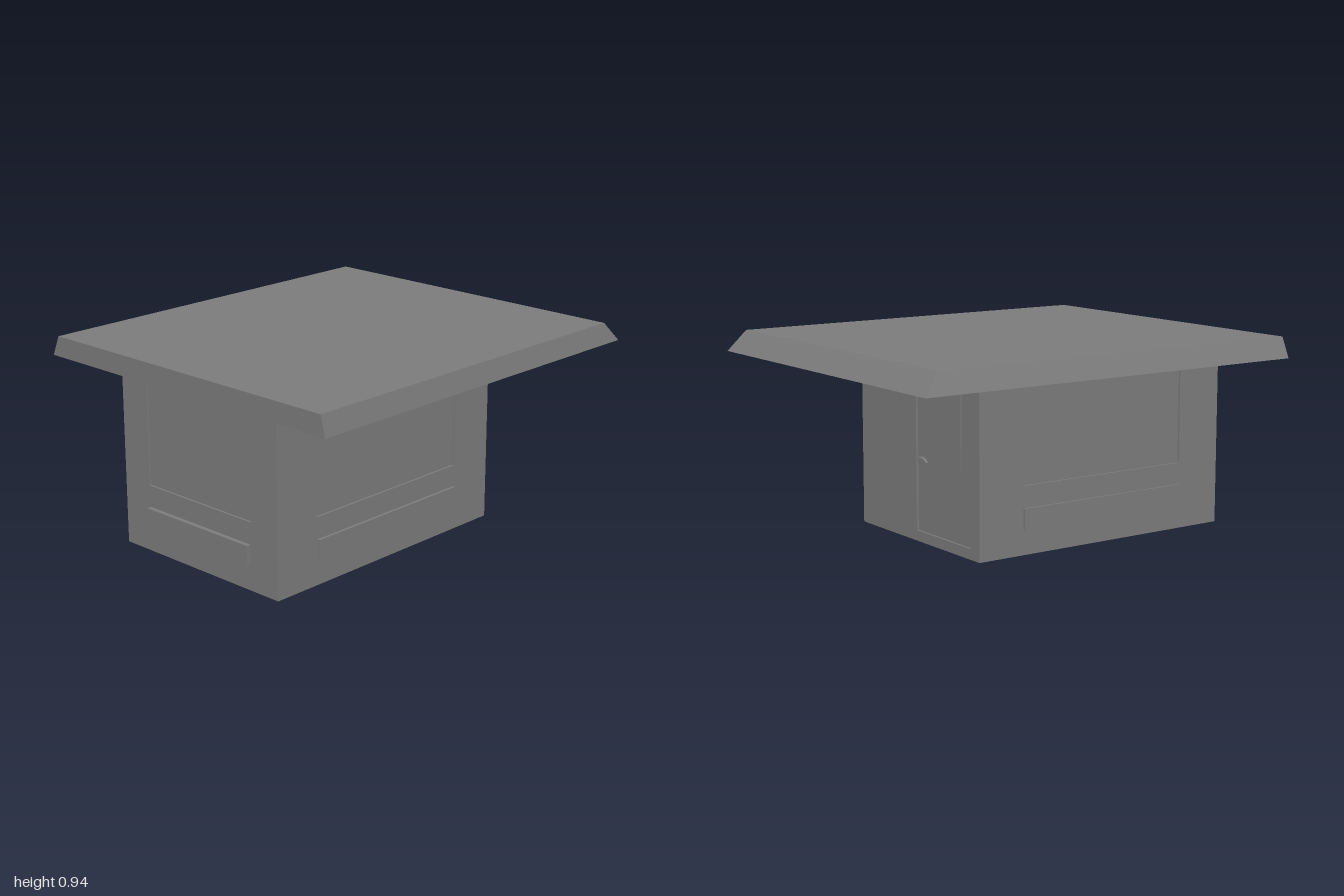
import * as THREE from 'three';

const X0 = -0.92, X1 = 0.47, Z0 = -0.476, Z1 = 0.51;   // body footprint
const CX = (X0 + X1) / 2, CZ = (Z0 + Z1) / 2;
const WALL = 0.035, CEILING = 0.925;

const material = new THREE.MeshStandardMaterial({ color: 0x7b7b7b, flatShading: true });

function addMesh(parent, name, geometry) {
  const mesh = new THREE.Mesh(geometry, material);
  mesh.name = name;
  parent.add(mesh);
  return mesh;
}

// Rectangles are [u0, u1, y0, y1]
function corners([u0, u1, y0, y1]) {
  return [[u0, y0], [u1, y0], [u1, y1], [u0, y1]].map(([u, y]) => new THREE.Vector2(u, y));
}

// Upright panel whose outer face lies at local z = front
function panel(parent, name, rect, front, depth, hole) {
  const shape = new THREE.Shape(corners(rect));
  if (hole) shape.holes.push(new THREE.Path(corners(hole)));
  const geometry = new THREE.ExtrudeGeometry(shape, { depth, bevelEnabled: false });
  return addMesh(parent, name, geometry.translate(0, 0, front - depth));
}

// One side of the body, modelled facing +z and then turned into place
function side(parent, name, x, z, turn) {
  const group = new THREE.Group();
  group.name = name;
  group.position.set(x, 0, z);
  group.rotation.y = turn;
  parent.add(group);
  return group;
}

function windowSide(group, halfWidth, halfOpening, ledge) {
  const opening = [-halfOpening, halfOpening, 0.318, 0.783];
  panel(group, 'wall', [-halfWidth, halfWidth, 0, CEILING], 0, WALL, opening);
  panel(group, 'windowPane', opening, -0.01, 0.018);
  panel(group, 'lowerBoard', [-halfOpening + 0.003, halfOpening - 0.003, 0.12, 0.215], ledge, ledge + 0.01);
}

// Hollow shell skinned through rectangular rings [x0, x1, z0, z1, y]
function ringShell(rings) {
  const points = rings.map(([x0, x1, z0, z1, y]) => [[x0, y, z1], [x1, y, z1], [x1, y, z0], [x0, y, z0]]);
  const positions = [];
  const quad = (a, b, c, d) => positions.push(...a, ...b, ...c, ...a, ...c, ...d);
  quad(...points[0]);
  for (let r = 0; r + 1 < points.length; r++) {
    const a = points[r], b = points[r + 1];
    for (let i = 0; i < 4; i++) {
      const j = (i + 1) % 4;
      quad(b[i], b[j], a[j], a[i]);
    }
  }
  quad(...points[points.length - 1].slice().reverse());
  const geometry = new THREE.BufferGeometry();
  geometry.setAttribute('position', new THREE.Float32BufferAttribute(positions, 3));
  geometry.computeVertexNormals();
  return geometry;
}

export function createModel() {
  const model = new THREE.Group();
  model.name = 'booth';

  // Roof: flat top, flared eaves, open recess underneath
  addMesh(model, 'roof', ringShell([
    [-1, 0.91, -0.825, 0.845, 0.935],
    [-1, 1, -0.868, 0.868, 0.838],
    [-0.96, 0.94, -0.825, 0.83, 0.838],
    [-0.96, 0.87, -0.795, 0.805, CEILING],
  ]));

  // Three windowed sides
  const halfX = (X1 - X0) / 2, halfZ = (Z1 - Z0) / 2 - WALL;
  windowSide(side(model, 'frontSide', CX, Z1, 0), halfX, 0.458, 0.014);
  windowSide(side(model, 'backSide', CX, Z0, Math.PI), halfX, 0.458, 0.01);
  windowSide(side(model, 'rightSide', X0, CZ, -Math.PI / 2), halfZ, 0.33, 0.022);

  // Door side
  const doorSide = side(model, 'doorSide', X1, CZ, Math.PI / 2);
  const doorway = [-0.017, 0.421, 0.05, 0.885];
  panel(doorSide, 'wall', [-halfZ, halfZ, 0, CEILING], 0, WALL, doorway);
  panel(doorSide, 'door', doorway, -0.01, 0.018);
  panel(doorSide, 'doorWindowPane', [0.14, 0.34, 0.38, 0.74], -0.006, 0.01);

  // Handle: short stem carrying a tapered lever
  panel(doorSide, 'handleStem', [0.028, 0.042, 0.392, 0.404], 0.008, 0.02);
  const lever = new THREE.Shape([[0.026, 0.389], [0.096, 0.389], [0.066, 0.404], [0.026, 0.404]]
    .map(([u, y]) => new THREE.Vector2(u, y)));
  addMesh(doorSide, 'handleLever', new THREE.ExtrudeGeometry(lever, { depth: 0.014, bevelEnabled: false })
    .translate(0, 0, 0.006));

  return model;
}
